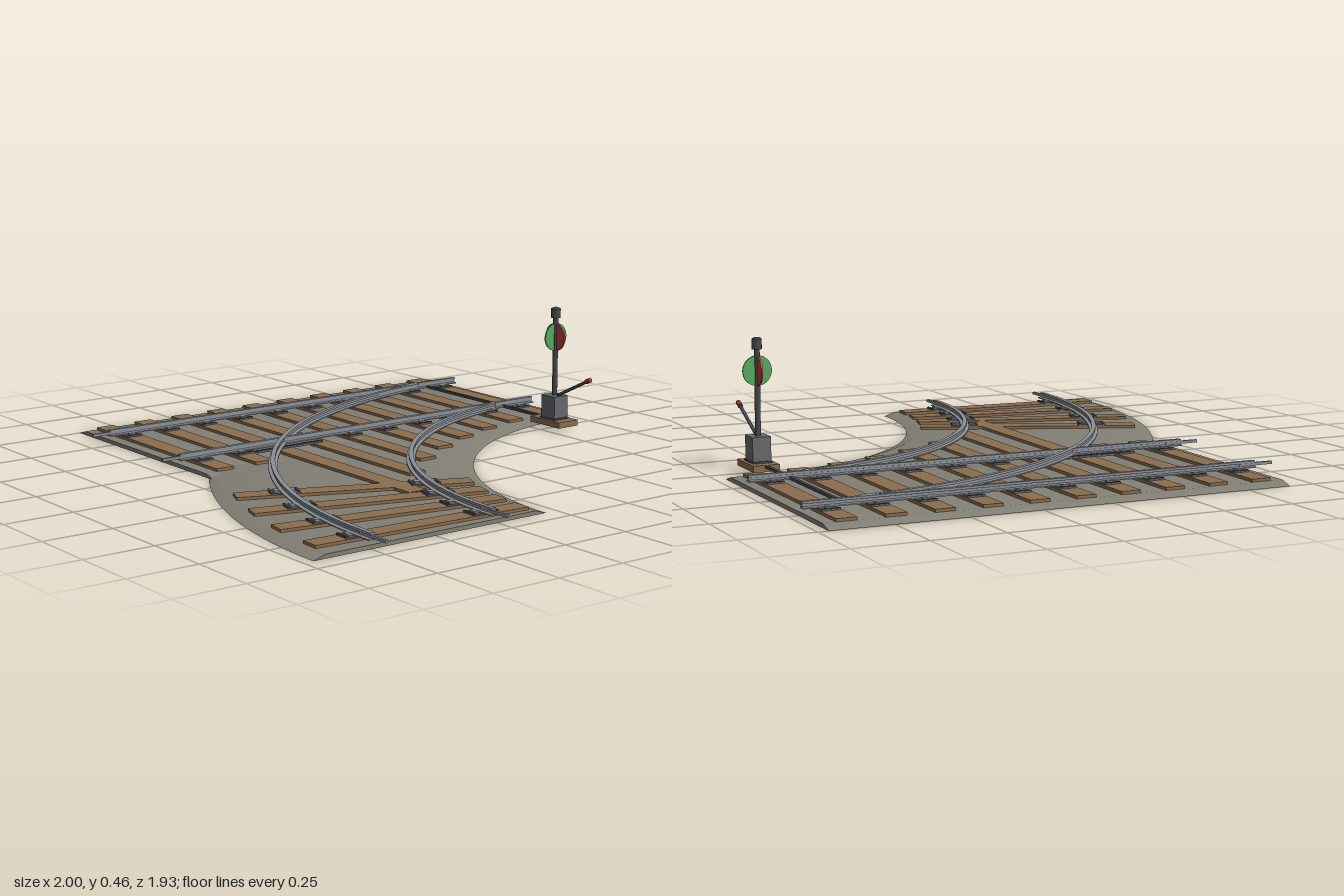
import * as THREE from 'three';
import { toCreasedNormals } from 'three/addons/utils/BufferGeometryUtils.js';

const mat = (name, color) => new THREE.MeshStandardMaterial({ name, color });

// Centre of the turnout curve and the main measurements
const CX = 0.93, CZ = -0.965, FRONT = 0.66;
const BED = 0.014, TIE = 0.024, PLATE = 0.028;
const RAIL_X = [-0.78, -0.3];
const HALF_PI = Math.PI / 2;

// Path rules: offset o across the track, t from 0 to 1 along it
const straight = (x, z0, z1) => (o, t) => [x + o, z0 + (z1 - z0) * t];
const arc = (r, a0, a1) => (o, t) => {
  const a = a0 + (a1 - a0) * t;
  return [CX - (r - o) * Math.cos(a), CZ + (r - o) * Math.sin(a)];
};

// Sweeps a counter-clockwise profile of [offset, height] along a path
function sweep(profile, steps, path) {
  const pos = [], n = profile.length;
  const put = (i, s) => {
    const [o, y] = profile[i % n];
    const [x, z] = path(o, s / steps);
    pos.push(x, y, z);
  };
  for (let s = 0; s < steps; s++) {
    for (let i = 0; i < n; i++) {
      put(i, s); put(i + 1, s); put(i + 1, s + 1);
      put(i, s); put(i + 1, s + 1); put(i, s + 1);
    }
  }
  const contour = profile.map(([x, y]) => new THREE.Vector2(x, y));
  for (const [a, b, c] of THREE.ShapeUtils.triangulateShape(contour, [])) {
    put(a, steps); put(b, steps); put(c, steps);
    put(c, 0); put(b, 0); put(a, 0);
  }
  const g = new THREE.BufferGeometry();
  g.setAttribute('position', new THREE.Float32BufferAttribute(pos, 3));
  return toCreasedNormals(g, 0.4);
}

export function createModel() {
  const ballast = mat('ballast grey', 0x827f75);
  const wood = mat('tie wood', 0x8a6d4f);
  const steel = mat('rail steel', 0x8c9096);
  const iron = mat('plate iron', 0x66686b);
  const dark = mat('dark iron', 0x45484d);
  const red = mat('signal red', 0xb5443a);
  const green = mat('signal green', 0x58a860);
  const grip = mat('handle grip', 0x8a3a2c);

  const root = new THREE.Group();
  root.name = 'trackSwitch';
  const add = (name, geo, material, parent = root) => {
    const m = new THREE.Mesh(geo, material);
    m.name = name;
    parent.add(m);
    return m;
  };
  // Box spanning y0 to y1
  const box = (name, material, w, y0, y1, d, x, z, parent) => {
    const m = add(name, new THREE.BoxGeometry(w, y1 - y0, d), material, parent);
    m.position.set(x, (y0 + y1) / 2, z);
    return m;
  };

  // Ballast beds with sloped shoulders
  const bedProfile = [[-0.46, 0], [0.46, 0], [0.415, BED], [-0.415, BED]];
  add('straightBed', sweep(bedProfile, 1, straight(-0.54, CZ, FRONT)), ballast);
  add('curvedBed', sweep(bedProfile, 64, arc(1.47, 0, HALF_PI)), ballast);

  // Rails: foot, web and head
  const railProfile = [
    [-0.016, PLATE], [0.016, PLATE], [0.016, 0.032], [0.004, 0.034], [0.004, 0.042],
    [0.008, 0.043], [0.008, 0.051], [-0.008, 0.051], [-0.008, 0.043], [-0.004, 0.042],
    [-0.004, 0.034], [-0.016, 0.032],
  ];
  for (const x of RAIL_X) {
    const r = CX - x;
    add('straightRail', sweep(railProfile, 1, straight(x, CZ, FRONT)), steel);
    add('curvedRail', sweep(railProfile, 64, arc(r, Math.asin(0.2 / r), HALF_PI)), steel);
    // Joining pins
    box('straightPin', steel, 0.01, 0.034, 0.044, 0.13, x, FRONT + 0.005);
    box('curvedPin', steel, 0.13, 0.034, 0.044, 0.01, CX + 0.005, CZ + r);
  }

  // Tie plate with a clip on each side of the rail
  const tiePlate = (x, z, parent) => {
    const g = new THREE.Group();
    g.name = 'tiePlate';
    g.position.set(x, 0, z);
    parent.add(g);
    box('plate', iron, 0.1, TIE - 0.002, PLATE, 0.06, 0, 0, g);
    for (const s of [-1, 1]) {
      box('clip', steel, 0.018, PLATE, 0.034, 0.026, s * 0.027, 0, g);
      box('plateRib', dark, 0.008, PLATE, 0.031, 0.06, s * 0.045, 0, g);
    }
  };

  // Straight ties, growing longer where the tracks part
  const tieEnds = [-0.13, -0.11, -0.07, -0.01, 0.07, 0.175, 0.32, 0.53, -0.13, -0.13];
  tieEnds.forEach((end, i) => {
    const z = -0.887 + i * 0.163;
    box('tie', wood, end + 0.95, 0.006, TIE, 0.07, (end - 0.95) / 2, z);
    tiePlate(RAIL_X[0], z, root);
    if (i !== 6 && i !== 7) tiePlate(RAIL_X[1], z, root);
  });

  // Fanned ties on the curved branch
  for (let i = 0; i < 4; i++) {
    const g = new THREE.Group();
    g.name = 'fannedTie';
    g.position.set(CX, 0, CZ);
    g.rotation.y = Math.PI + HALF_PI - 0 - THREE.MathUtils.degToRad(3.1 + i * 6.5);
    root.add(g);
    box('tie', wood, 0.81, 0.006, TIE, 0.07, 1.47, 0, g);
    for (const x of RAIL_X) tiePlate(CX - x, 0, g);
  }

  // Frog plate where the rails cross
  box('frogPlate', iron, 0.112, TIE - 0.002, PLATE, 0.285, -0.297, 0.228);
  for (const s of [-1, 1]) box('frogRib', dark, 0.008, PLATE, 0.032, 0.285, -0.297 + s * 0.05, 0.228);

  // Switch stand
  const stand = new THREE.Group();
  stand.name = 'switchStand';
  stand.position.set(0, 0, -0.82);
  root.add(stand);
  box('standTie', wood, 0.16, 0.014, 0.036, 0.095, 0, 0, stand);
  box('footPlate', dark, 0.085, 0.036, 0.042, 0.07, 0, 0, stand);
  box('housing', iron, 0.074, 0.042, 0.125, 0.066, 0, 0, stand);
  const post = add('post', new THREE.CylinderGeometry(0.01, 0.01, 0.3, 12), dark, stand);
  post.position.y = 0.275;
  const lamp = add('lamp', new THREE.CylinderGeometry(0.018, 0.018, 0.035, 8), dark, stand);
  lamp.position.y = 0.438;
  const cap = add('lampCap', new THREE.CylinderGeometry(0.008, 0.018, 0.005, 8), dark, stand);
  cap.position.y = 0.458;

  // Signal discs at right angles
  const disc = new THREE.CylinderGeometry(0.052, 0.052, 0.006, 32).rotateX(HALF_PI);
  const redDisc = add('redDisc', disc, red, stand);
  const greenDisc = add('greenDisc', disc, green, stand);
  greenDisc.rotation.y = HALF_PI;
  redDisc.position.y = greenDisc.position.y = 0.347;

  // Throw lever and its grip
  const rod = (name, material, radius, a, b) => {
    const p = new THREE.Vector3(...a), q = new THREE.Vector3(...b);
    const m = add(name, new THREE.CylinderGeometry(radius, radius, p.distanceTo(q), 10), material, stand);
    m.position.copy(p).add(q).divideScalar(2);
    m.quaternion.setFromUnitVectors(new THREE.Vector3(0, 1, 0), q.sub(p).normalize());
  };
  rod('lever', dark, 0.006, [0.02, 0.127, 0], [0.18, 0.205, 0]);
  rod('leverGrip', grip, 0.009, [0.173, 0.202, 0], [0.196, 0.213, 0]);

  // Rod linking the stand to the moving rails
  box('throwRod', dark, 0.77, 0.026, 0.036, 0.012, -0.385, -0.82);

  return root;
}
